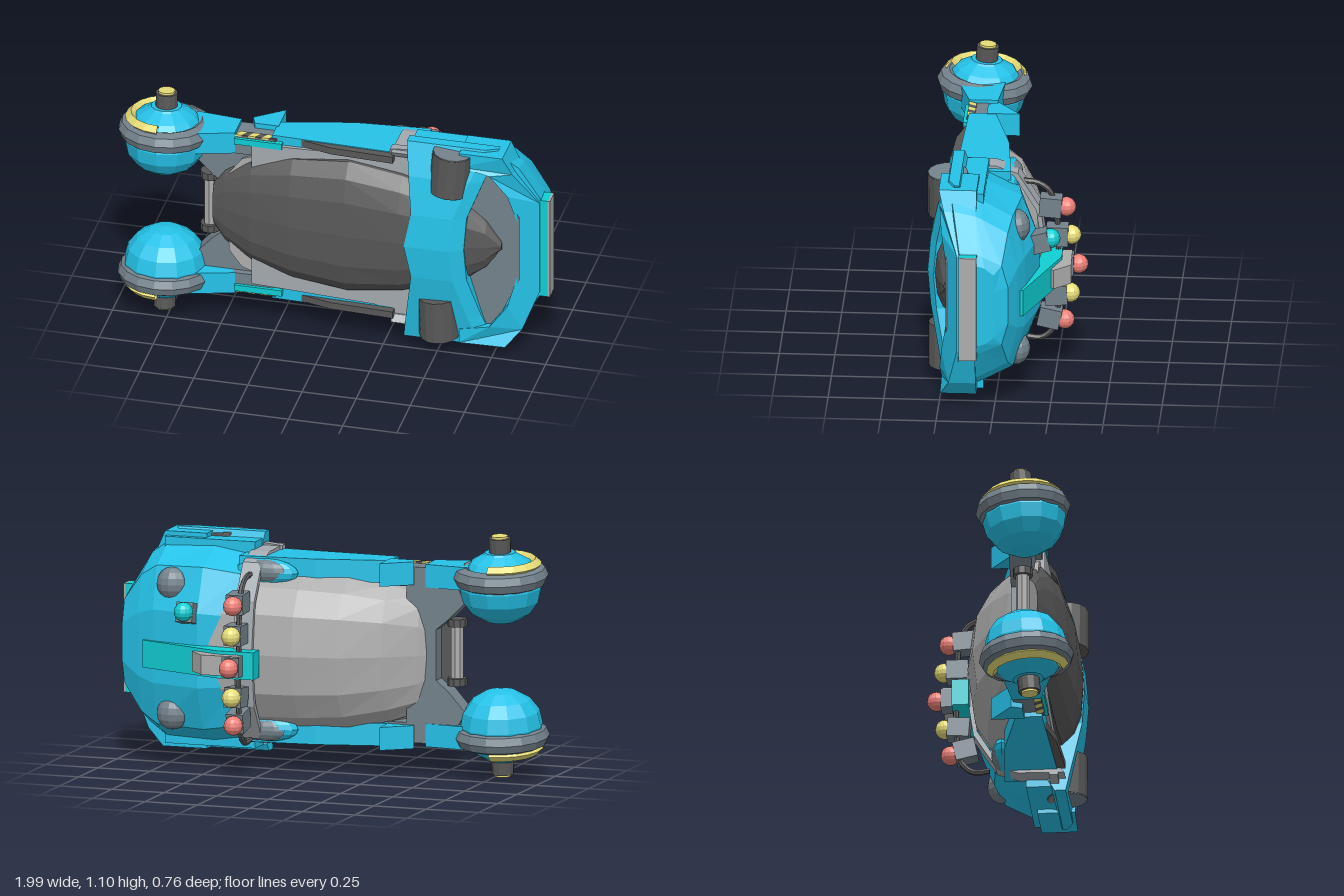
import * as THREE from 'three';

const MID = 0.55; // mirror line across the vehicle, in y
const C = { blue: 0x25c2e8, teal: 0x0fcfd4, slate: 0x74828c, pale: 0xa4aab0, dark: 0x585858,
  grey: 0xadadad, yellow: 0xe6dc78, red: 0xee8078 };
const mats = {};
const mat = (c) => (mats[c] ??= new THREE.MeshStandardMaterial({ color: C[c], flatShading: true, side: THREE.DoubleSide }));

export function createModel() {
  const root = new THREE.Group();

  const add = (name, geo, color, pos = [0, 0, 0], parent = root) => {
    const m = new THREE.Mesh(geo, mat(color));
    m.name = name;
    m.position.set(...pos);
    parent.add(m);
    return m;
  };
  const box = (name, color, x0, x1, y0, y1, z0, z1) => add(name,
    new THREE.BoxGeometry(x1 - x0, y1 - y0, z1 - z0), color, [(x0 + x1) / 2, (y0 + y1) / 2, (z0 + z1) / 2]);
  const ball = (name, color, pos, rx, ry = rx, rz = rx, parent = root) => {
    const m = add(name, new THREE.SphereGeometry(1, 12, 8), color, pos, parent);
    m.scale.set(rx, ry, rz);
    return m;
  };
  const extrude = (pts, depth) => new THREE.ExtrudeGeometry(
    new THREE.Shape(pts.map((p) => new THREE.Vector2(...p))), { depth, bevelEnabled: false });
  // outline in x,y with thickness along z
  const plate = (name, color, pts, z0, z1) => add(name, extrude(pts, z1 - z0), color, [0, 0, z0]);
  // outline in x,z with thickness along y
  const slab = (name, color, pts, y0, y1) => add(name, extrude(pts, y1 - y0).rotateX(Math.PI / 2), color, [0, y1, 0]);
  const bothSides = (name, color, pts, y0, y1) => {
    slab(name, color, pts, y0, y1);
    slab(name, color, pts, 2 * MID - y1, 2 * MID - y0);
  };

  // skin over rings of points, with closed ends; faces turned outward by signed volume
  const loft = (rings) => {
    const n = rings[0].length, v = rings.flat(), idx = [];
    for (let i = 0; i < rings.length - 1; i++) for (let j = 0; j < n; j++) {
      const a = i * n + j, b = i * n + (j + 1) % n;
      idx.push(a, b, b + n, a, b + n, a + n);
    }
    const last = (rings.length - 1) * n;
    for (let j = 1; j < n - 1; j++) idx.push(0, j + 1, j, last, last + j, last + j + 1);
    let vol = 0;
    const p = v.map((q) => new THREE.Vector3(...q));
    for (let k = 0; k < idx.length; k += 3) vol += p[idx[k]].dot(p[idx[k + 1]].clone().cross(p[idx[k + 2]]));
    if (vol < 0) idx.reverse();
    const g = new THREE.BufferGeometry();
    g.setAttribute('position', new THREE.Float32BufferAttribute(v.flat(), 3));
    g.setIndex(idx);
    g.computeVertexNormals();
    return g;
  };
  // half-oval shell along x from sections [x, half width, crown z], sitting on z = base
  const shell = (sections, base, mid, n) => loft(sections.map(([x, hy, zt]) => Array.from({ length: n + 1 }, (_, i) => {
    const a = Math.PI * i / n, c = Math.cos(a);
    return [x, mid + hy * Math.sign(c) * Math.abs(c) ** 0.8, base + (zt - base) * Math.sin(a) ** 0.8];
  })));

  add('canopy', shell([[-0.48, 0.2, 0.08], [-0.42, 0.28, 0.03], [-0.28, 0.33, -0.06], [-0.1, 0.37, -0.15],
    [0.1, 0.385, -0.19], [0.3, 0.39, -0.195], [0.5, 0.36, -0.18]], 0.18, MID, 8), 'grey');

  // belly, blunt at the nose and pointed at the tail
  add('belly', shell([[-0.555, 0.11, 0.185], [-0.5, 0.19, 0.205], [-0.37, 0.27, 0.25], [-0.18, 0.325, 0.287],
    [0.08, 0.355, 0.308], [0.33, 0.315, 0.312], [0.52, 0.25, 0.295], [0.64, 0.21, 0.275], [0.72, 0.145, 0.255],
    [0.79, 0.03, 0.23]], 0.13, 0.57, 8), 'dark');

  // floor frame around the belly
  plate('floorFrame', 'pale', [[-0.37, 0.2], [0.28, 0.17], [0.28, 0.1], [0.37, 0.08], [0.37, 1.0], [0.27, 0.99],
    [0.27, 0.94], [-0.37, 0.925]], 0.16, 0.2);
  plate('noseFrame', 'slate', [[-0.36, 0.93], [-0.6, 0.87], [-0.64, 0.8], [-0.56, 0.72], [-0.5, 0.67], [-0.5, 0.44],
    [-0.56, 0.39], [-0.64, 0.3], [-0.6, 0.23], [-0.36, 0.18]], 0.06, 0.16);

  // front cross bar with end collars
  add('crossBar', new THREE.CylinderGeometry(0.03, 0.03, 0.28, 8), 'grey', [-0.58, 0.57, 0.12]);
  for (const y of [0.43, 0.7]) {
    add('barCollar', new THREE.CylinderGeometry(0.045, 0.045, 0.035, 10), 'dark', [-0.58, y, 0.12]);
  }

  // rear hull: sections [x, half width, top z, bottom z]
  const hull = [[0.38, 0.455, -0.16, 0.2], [0.55, 0.485, -0.2, 0.2], [0.78, 0.475, -0.145, 0.2],
    [0.86, 0.41, -0.115, 0.18], [0.95, 0.25, -0.075, 0.15], [0.97, 0.2, -0.01, 0.12]];
  const half = [[1, 1], [0.95, 0.45], [0.92, 0.3], [0.76, -0.55], [0.35, -0.93]];
  add('rearHull', loft(hull.map(([x, hy, zt, zb]) => {
    const side = (s) => half.map(([w, t]) => [x, MID + s * w * hy, t > 0 ? t * zb : -t * zt]);
    return [...side(1), ...side(-1).reverse()];
  })), 'blue');

  // bent band under the hull: [y, left x, right x, inner z, outer z]
  const band = [[0.05, 0.34, 0.76, 0.18, 0.23], [0.2, 0.36, 0.7, 0.1, 0.26], [0.4, 0.39, 0.64, 0.1, 0.3],
    [0.56, 0.36, 0.63, 0.1, 0.314], [0.72, 0.39, 0.64, 0.1, 0.3], [0.9, 0.37, 0.71, 0.1, 0.265],
    [1.05, 0.35, 0.77, 0.16, 0.21]];
  add('underBand', loft(band.map(([y, a, b, z0, z]) => [[a, y, z0], [b, y, z0], [b, y, z - 0.03], [b - 0.06, y, z],
    [a, y, z]])), 'blue');

  // rim around the recessed rear floor, sinking toward the tail
  const rim = plate('rearRim', 'blue', [[0.6, 1.04], [0.8, 1.04], [0.84, 0.95], [0.95, 0.78], [0.95, 0.32], [0.88, 0.14],
    [0.81, 0.06], [0.6, 0.06], [0.6, 0.13], [0.74, 0.16], [0.82, 0.27], [0.86, 0.42], [0.86, 0.7], [0.82, 0.84],
    [0.74, 0.94], [0.6, 0.97]], 0.08, 0.25);
  const rp = rim.geometry.attributes.position;
  for (let i = 0; i < rp.count; i++) if (rp.getZ(i) > 0.1) rp.setZ(i, 0.17 - Math.max(0, rp.getX(i) - 0.8) * 0.6);
  plate('rearFloor', 'slate', [[0.6, 0.1], [0.75, 0.14], [0.87, 0.4], [0.87, 0.72], [0.75, 0.96], [0.6, 1]], 0.18, 0.215);

  // rear wheels, slightly toed
  for (const [x, y, tilt] of [[0.558, 0.93, 0.08], [0.5, 0.18, -0.05]]) {
    const w = new THREE.Group();
    w.name = 'rearWheel';
    w.position.set(x, y, 0.223);
    w.rotation.z = -tilt;
    root.add(w);
    add('rearTyre', new THREE.CylinderGeometry(0.092, 0.092, 0.2, 14), 'dark', [0, 0, 0], w);
    const out = Math.sign(y - MID);
    add('rearWheelCap', new THREE.CylinderGeometry(0.09, 0.09, 0.006, 14), 'slate', [0, out * 0.101, 0], w);
  }

  // tail light bar
  box('tailBar', 'teal', 0.92, 0.985, 0.295, 0.79, 0.07, 0.15);
  box('tailPanel', 'grey', 0.985, 0.995, 0.295, 0.79, 0.07, 0.15);

  // hull domes
  for (const y of [0.835, 0.245]) ball('hullDome', 'slate', [0.7, y, -0.095], 0.075, 0.075, 0.06);

  // side rails, shoulders, sills and fittings
  bothSides('sideRail', 'blue', [[-0.28, 0.06], [0.05, -0.02], [0.4, -0.05], [0.4, 0.2], [-0.28, 0.18]], 0.87, 0.972);
  bothSides('shoulder', 'blue', [[0.36, 0.05], [0.79, 0.05], [0.79, 0.19], [0.55, 0.22], [0.36, 0.21]], 0.95, 1.02);
  bothSides('sill', 'dark', [[-0.2, 0.17], [0.29, 0.17], [0.29, 0.235], [0, 0.22]], 0.935, 0.968);
  bothSides('railBox', 'blue', [[-0.4, 0.05], [-0.27, -0.05], [-0.27, 0.1], [-0.38, 0.1]], 0.87, 0.975);
  bothSides('armJoint', 'slate', [[-0.46, 0.06], [-0.27, 0.06], [-0.27, 0.19], [-0.46, 0.19]], 0.86, 0.95);
  bothSides('tealTrim', 'teal', [[-0.45, 0.17], [-0.23, 0.17], [-0.23, 0.205], [-0.45, 0.205]], 0.915, 0.945);
  bothSides('wheelArm', 'blue', [[-0.66, 0.04], [-0.45, 0.06], [-0.45, 0.19], [-0.66, 0.25]], 0.86, 0.965);
  for (let i = 0; i < 6; i++) {
    const x = -0.45 + i * 0.031;
    bothSides('hazardStripe', i % 2 ? 'dark' : 'yellow',
      [[x, 0.19], [x + 0.02, 0.155], [x + 0.051, 0.155], [x + 0.031, 0.19]], 0.94, 0.958);
  }
  for (const s of [1, -1]) {
    ball('sideIntake', 'blue', [0.27, MID + s * 0.355, -0.04], 0.15, 0.06, 0.05);
    ball('intakeMesh', 'slate', [0.27, MID + s * 0.36, -0.055], 0.11, 0.052, 0.042);
  }

  // strap over the canopy
  const arc = [[0.44, 0.23], [0.435, 0.02], [0.4, -0.08], [0.24, -0.18], [0, -0.215]];
  const path = [...arc, ...arc.slice(0, -1).reverse().map(([d, z]) => [-d, z])];
  add('strap', loft(path.map(([d, z]) => [[0.28, 1, 1], [0.37, 1, 1], [0.37, 0.93, 0.9], [0.28, 0.93, 0.9]]
    .map(([x, k, q]) => [x, MID + d * k, z * q]))), 'pale');

  // roof lamps on a cable: [x, y, z of box, ball y, ball z, colour]
  const lamps = [[0.34, 0.79, -0.225, 0.785, -0.295, 'red'], [0.34, 0.65, -0.255, 0.65, -0.318, 'yellow'],
    [0.34, 0.51, -0.28, 0.51, -0.35, 'red'], [0.34, 0.365, -0.25, 0.37, -0.313, 'yellow'],
    [0.34, 0.255, -0.22, 0.24, -0.288, 'red'], [0.595, 0.72, -0.185, 0.735, -0.24, 'teal']];
  for (const [x, y, z, by, bz, color] of lamps) {
    const b = add('lampBox', new THREE.BoxGeometry(0.08, 0.09, 0.1), 'slate', [x, y, z]);
    b.rotation.x = Math.atan2(by - y, z - bz);
    ball('lamp', color, [x, by, bz], 0.044);
  }
  const cable = [[0.9, -0.1], [0.895, -0.16], [0.86, -0.215], [0.78, -0.245], [0.5, -0.26], [0.28, -0.255],
    [0.19, -0.235], [0.145, -0.18], [0.15, -0.11]];
  add('cable', new THREE.TubeGeometry(new THREE.CatmullRomCurve3(cable.map(([y, z]) => new THREE.Vector3(0.325, y, z))),
    40, 0.013, 6), 'dark');

  // roof fin and its housing
  slab('roofFin', 'teal', [[0.25, -0.275], [0.42, -0.28], [0.83, -0.13], [0.83, -0.08], [0.25, -0.2]], 0.45, 0.575);
  slab('finHousing', 'grey', [[0.3, -0.32], [0.48, -0.325], [0.55, -0.25], [0.52, -0.22], [0.3, -0.25]], 0.47, 0.56);

  // front wheels: shell, tyre, outer cap, yellow arc, hub; local y points outward
  for (const s of [1, -1]) {
    const w = new THREE.Group();
    w.name = 'frontWheel';
    w.position.set(-0.78, MID + 0.005 + s * 0.365, s > 0 ? 0.14 : 0.155);
    w.rotation.x = s > 0 ? -0.08 : Math.PI - 0.08;
    root.add(w);
    ball('wheelShell', 'blue', [0, -0.05, 0], 0.188, 0.168, 0.188, w);
    add('tyre', new THREE.TorusGeometry(0.165, 0.05, 8, 16).rotateX(Math.PI / 2), 'slate', [0, 0, 0], w);
    add('outerCap', new THREE.CylinderGeometry(0.07, 0.155, 0.09, 12), 'blue', [0, 0.065, 0], w);
    add('hub', new THREE.CylinderGeometry(0.05, 0.05, 0.09, 12), 'dark', [0, 0.13, 0], w);
    add('hubCap', new THREE.CylinderGeometry(0.038, 0.038, 0.016, 12), 'yellow', [0, 0.177, 0], w);
    const arch = new THREE.TorusGeometry(0.16, 0.026, 4, 9, Math.PI).rotateZ(Math.PI / 2).rotateX(Math.PI / 2);
    add('wheelArc', arch, 'yellow', [0, 0.055, 0], w);
  }
  return root;
}
